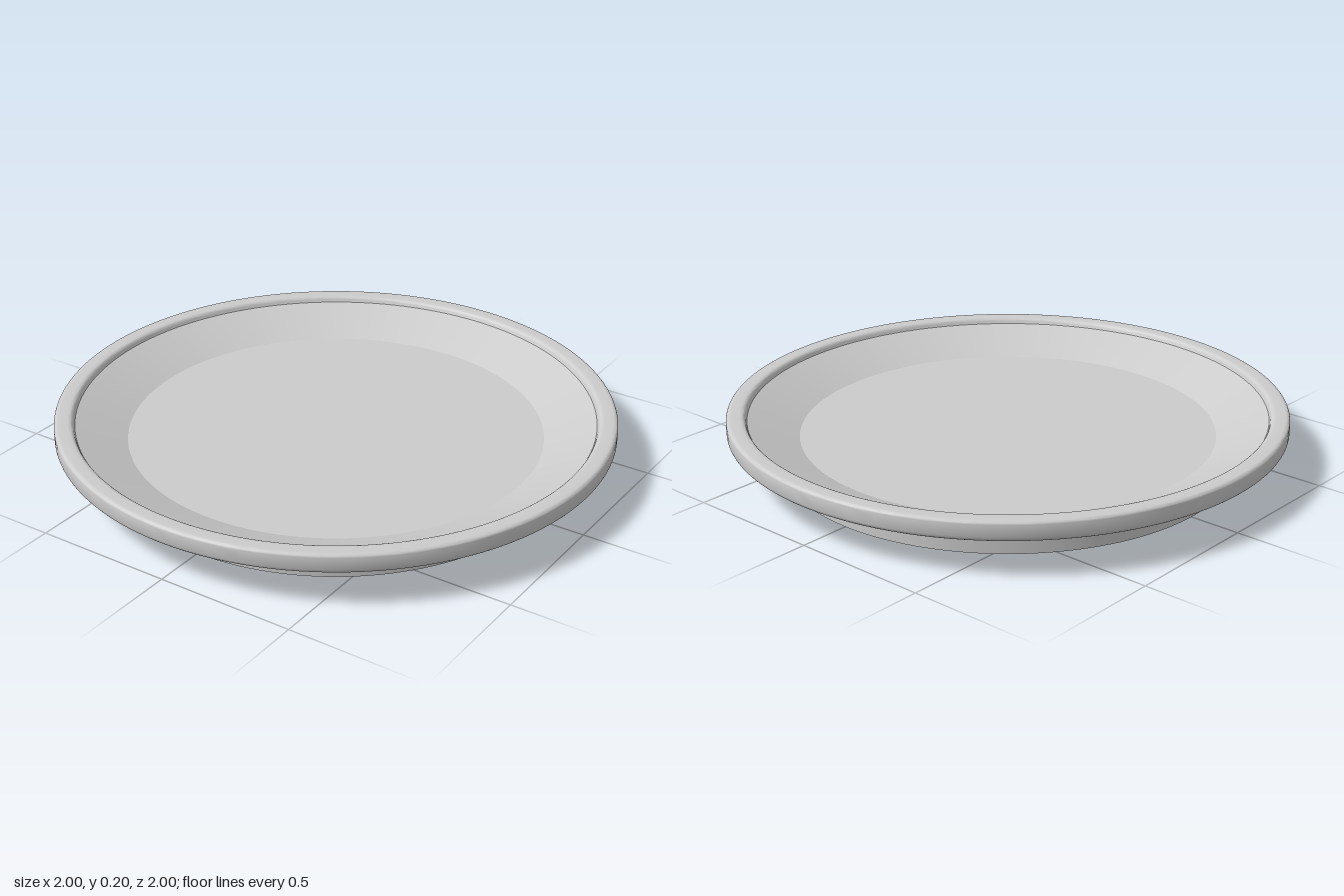
import * as THREE from 'three';
import { toCreasedNormals } from 'three/addons/utils/BufferGeometryUtils.js';

// Points of a rounded corner between two neighbouring profile points
function corner(from, tip, to, steps = 6) {
  const curve = new THREE.QuadraticBezierCurve(
    new THREE.Vector2(...from), new THREE.Vector2(...tip), new THREE.Vector2(...to));
  return curve.getPoints(steps);
}

export function createModel() {
  const model = new THREE.Group();
  model.name = 'shallowDish';
  const material = new THREE.MeshStandardMaterial({ color: 0xcccccc });

  // Cross-section from the underside centre, out over the rim, to the floor centre
  const profile = [
    new THREE.Vector2(0, 0),
    new THREE.Vector2(0.815, 0),                                  // foot
    new THREE.Vector2(0.815, 0.057),
    ...corner([0.983, 0.128], [0.998, 0.134], [1, 0.146]),        // lower rim edge
    ...corner([1, 0.184], [1, 0.2], [0.982, 0.2]),                // outer rim edge
    ...corner([0.952, 0.2], [0.934, 0.2], [0.931, 0.186]),        // inner rim edge
    new THREE.Vector2(0.927, 0.179),
    new THREE.Vector2(0.745, 0.102),                              // sloping wall
    new THREE.Vector2(0, 0.102),                                  // floor
  ];

  const geometry = toCreasedNormals(new THREE.LatheGeometry(profile, 128), 0.37);
  const dish = new THREE.Mesh(geometry, material);
  dish.name = 'dish';
  model.add(dish);
  return model;
}
